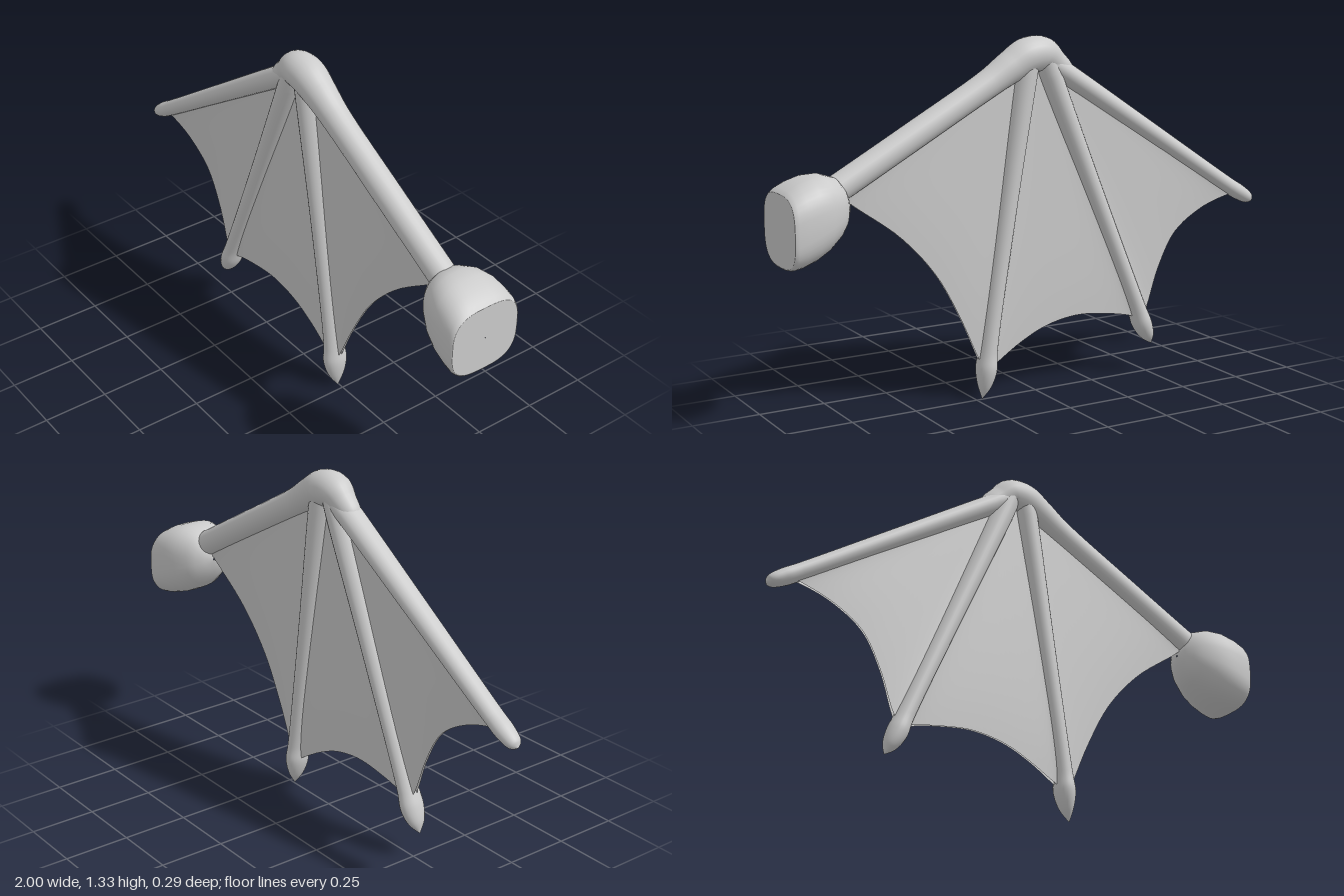
import * as THREE from 'three';

const material = new THREE.MeshStandardMaterial({ color: 0xcccccc });
const skinMaterial = new THREE.MeshStandardMaterial({ color: 0xcccccc, side: THREE.DoubleSide });
const Z = 0.005; // mid-plane of the wing

// Skin a list of closed rings (arrays of Vector3, equal length)
function loft(rings) {
  const n = rings[0].length, index = [];
  for (let i = 0; i < rings.length - 1; i++) {
    for (let j = 0; j < n; j++) {
      const k = (j + 1) % n, a = i * n, b = a + n;
      index.push(a + j, a + k, b + k, a + j, b + k, b + j);
    }
  }
  const geometry = new THREE.BufferGeometry().setFromPoints(rings.flat());
  geometry.setIndex(index);
  geometry.computeVertexNormals();
  return geometry;
}

function ring(count, point) {
  return Array.from({ length: count }, (_, j) => point((j / count) * Math.PI * 2));
}

// Tapered bone; path points are [x, y, radius], depth scales the radius along z
function bone(path, depth) {
  const curve = new THREE.CatmullRomCurve3(path.map((p) => new THREE.Vector3(...p)));
  const steps = (path.length - 1) * 8, rings = [];
  for (let i = 0; i <= steps; i++) {
    const p = curve.getPoint(i / steps), t = curve.getTangent(i / steps);
    const len = Math.hypot(t.x, t.y), r = Math.max(p.z, 0.0005);
    rings.push(ring(24, (a) => new THREE.Vector3(
      p.x - (t.y / len) * Math.cos(a) * r,
      p.y + (t.x / len) * Math.cos(a) * r,
      Z + Math.sin(a) * r * depth)));
  }
  return loft(rings);
}

// Skin panel fanning from the joint (two top points) to a scalloped trailing edge
function panel(topA, topB, edge) {
  const curve = new THREE.CatmullRomCurve3(edge.map(([x, y]) => new THREE.Vector3(x, y, 0)));
  const U = 32, V = 24, rings = [];
  for (let i = 0; i <= V; i++) {
    const v = i / V, front = [], back = [];
    for (let j = 0; j <= U; j++) {
      const u = j / U, low = curve.getPoint(u);
      const x = THREE.MathUtils.lerp(THREE.MathUtils.lerp(topA[0], topB[0], u), low.x, v);
      const y = THREE.MathUtils.lerp(THREE.MathUtils.lerp(topA[1], topB[1], u), low.y, v);
      // thin in the middle and at the trailing edge, swelling beside the bones
      const t = 0.012 * (1 - 0.7 * v ** 6) + 0.02 * Math.abs(2 * u - 1) ** 5;
      front.push(new THREE.Vector3(x, y, Z + t));
      back.unshift(new THREE.Vector3(x, y, Z - t));
    }
    rings.push([...front, ...back]);
  }
  return loft(rings);
}

// Rounded-square shoulder with a flat inner face; stations are [x, yLow, yHigh, halfDepth]
function shoulder() {
  const stations = [
    [0.75, 0.777, 0.783, 0.003], [0.756, 0.74, 0.82, 0.042], [0.775, 0.7, 0.856, 0.075],
    [0.8, 0.67, 0.884, 0.1], [0.85, 0.631, 0.9, 0.128], [0.9, 0.606, 0.897, 0.142],
    [0.95, 0.59, 0.88, 0.146], [0.985, 0.585, 0.86, 0.146], [0.998, 0.588, 0.848, 0.143],
    [1, 0.592, 0.845, 0.14], [1, 0.592, 0.845, 0.14], [1, 0.718, 0.719, 0.001],
  ];
  const round = (c, e) => Math.sign(c) * Math.abs(c) ** e;
  return loft(stations.map(([x, lo, hi, d], i) => {
    const e = Math.max(0.66, 1 - i * 0.05);
    return ring(40, (a) => new THREE.Vector3(x,
      (lo + hi) / 2 + (round(Math.cos(a), e) * (hi - lo)) / 2,
      Z - 0.002 + round(Math.sin(a), e) * d));
  }));
}

export function createModel() {
  const wing = new THREE.Group();
  wing.name = 'wing';
  const add = (name, geometry, mat = material) => {
    const mesh = new THREE.Mesh(geometry, mat);
    mesh.name = name;
    wing.add(mesh);
  };

  add('shoulder', shoulder());

  // Arm, swelling into the rounded wrist joint
  add('armBone', bone([[0.86, 0.8, 0.05], [0.5, 0.997, 0.05], [0.19, 1.168, 0.052], [0.1, 1.222, 0.06],
    [0.03, 1.257, 0.067], [-0.03, 1.26, 0.064], [-0.08, 1.228, 0.05], [-0.13, 1.19, 0.036], [-0.16, 1.17, 0.001]], 1.02));

  // Three fingers ending in claw-like tips
  add('outerFinger', bone([[-0.03, 1.245, 0.042], [-0.12, 1.19, 0.041], [-0.5, 0.945, 0.036], [-0.88, 0.7, 0.031],
    [-0.94, 0.664, 0.03], [-0.985, 0.638, 0.02], [-1, 0.631, 0.001]], 1.25));
  add('middleFinger', bone([[-0.035, 1.25, 0.045], [-0.062, 1.18, 0.045], [-0.26, 0.715, 0.037], [-0.455, 0.26, 0.034],
    [-0.483, 0.19, 0.037], [-0.508, 0.14, 0.025], [-0.527, 0.105, 0.001]], 1.25));
  add('innerFinger', bone([[0.03, 1.25, 0.044], [0.043, 1.18, 0.044], [0.125, 0.67, 0.036], [0.2, 0.18, 0.034],
    [0.207, 0.11, 0.038], [0.215, 0.05, 0.025], [0.225, 0, 0.001]], 1.25));

  // Skin stretched between the bones
  add('outerMembrane', panel([-0.08, 1.21], [-0.05, 1.2],
    [[-0.93, 0.672], [-0.87, 0.66], [-0.75, 0.62], [-0.63, 0.54], [-0.555, 0.41], [-0.505, 0.27], [-0.475, 0.21]]), skinMaterial);
  add('middleMembrane', panel([-0.05, 1.21], [0.04, 1.21],
    [[-0.475, 0.21], [-0.42, 0.232], [-0.3, 0.255], [-0.18, 0.265], [-0.05, 0.243], [0.06, 0.195], [0.16, 0.135], [0.205, 0.11]]), skinMaterial);
  add('innerMembrane', panel([0.04, 1.2], [0.1, 1.215],
    [[0.207, 0.1], [0.24, 0.155], [0.31, 0.31], [0.41, 0.49], [0.55, 0.645], [0.74, 0.785], [0.79, 0.83]]), skinMaterial);

  return wing;
}
